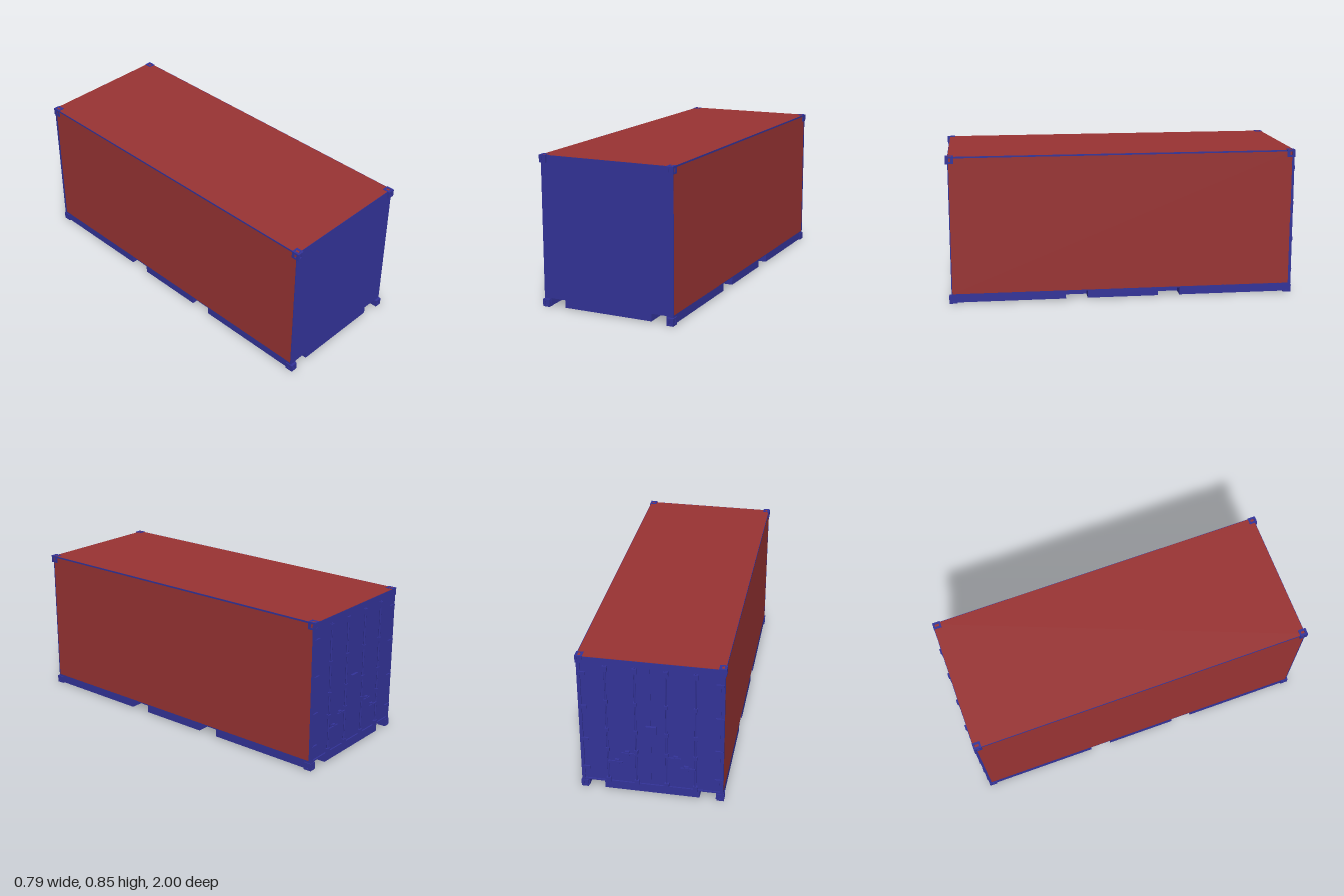
import * as THREE from 'three';

const blue = new THREE.MeshStandardMaterial({ color: 0x333399 });
const red = new THREE.MeshStandardMaterial({ color: 0x993333 });

// Box given by its min/max limits on each axis
function block(parent, name, [x0, x1], [y0, y1], [z0, z1], material = blue) {
  const mesh = new THREE.Mesh(new THREE.BoxGeometry(x1 - x0, y1 - y0, z1 - z0), material);
  mesh.position.set((x0 + x1) / 2, (y0 + y1) / 2, (z0 + z1) / 2);
  mesh.name = name;
  parent.add(mesh);
  return mesh;
}

// Same box on the left or right side (s = 1 or -1)
const side = (s, a, b) => (s > 0 ? [a, b] : [-b, -a]);

// Flat plate with a slot through it, lying in xy and facing +z
function slottedPlate(w, h, slotW, slotH, depth) {
  const rect = (P, a, b) => new P([
    new THREE.Vector2(-a / 2, -b / 2), new THREE.Vector2(a / 2, -b / 2),
    new THREE.Vector2(a / 2, b / 2), new THREE.Vector2(-a / 2, b / 2)]);
  const shape = rect(THREE.Shape, w, h);
  shape.holes.push(rect(THREE.Path, slotW, slotH));
  return new THREE.ExtrudeGeometry(shape, { depth, bevelEnabled: false });
}

// Corner casting: a core with slotted plates on its three outer faces
function cornerCasting(sx, sy, sz) {
  const [w, h, d, t] = [0.04, 0.042, 0.046, 0.008];
  const casting = new THREE.Group();
  casting.name = 'cornerCasting';
  const core = new THREE.Mesh(new THREE.BoxGeometry(w - t, h - t, d - t), blue);
  core.position.set(-sx * t / 2, -sy * t / 2, -sz * t / 2);
  core.name = 'castingCore';
  const end = new THREE.Mesh(slottedPlate(w, h, 0.013, 0.021, t), blue);
  end.position.z = sz > 0 ? d / 2 - t : -d / 2;
  const flank = new THREE.Mesh(slottedPlate(d, h, 0.015, 0.021, t), blue);
  flank.rotation.y = Math.PI / 2;
  flank.position.x = sx > 0 ? w / 2 - t : -w / 2;
  const cap = new THREE.Mesh(slottedPlate(w, d, 0.014, 0.024, t), blue);
  cap.rotation.x = -Math.PI / 2;
  cap.position.y = sy > 0 ? h / 2 - t : -h / 2;
  [end, flank, cap].forEach((m) => { m.name = 'slottedFace'; });
  casting.add(core, end, flank, cap);
  casting.position.set(sx * 0.377, sy > 0 ? 0.845 - h / 2 : h / 2, sz > 0 ? 0.977 : -0.967);
  return casting;
}

// Base frame with end notches and side fork pockets
function baseFrame() {
  const base = new THREE.Group();
  base.name = 'baseFrame';
  const y = [0.005, 0.048];
  block(base, 'floor', [-0.392, 0.392], [0.048, 0.054], [-0.984, 0.986]);
  block(base, 'centreSlab', [-0.263, 0.263], y, [-0.984, 0.986]);
  for (const s of [1, -1]) {
    for (const z of [[-0.855, -0.325], [-0.2, 0.21], [0.335, 0.855]]) {
      block(base, 'sideRail', side(s, 0.263, 0.392), y, z);
    }
    for (const z of [[-0.325, -0.2], [0.21, 0.335]]) {
      block(base, 'forkPocketBack', side(s, 0.263, 0.31), y, z);
    }
    for (const z of [[-0.984, -0.855], [0.855, 0.986]]) {
      block(base, 'railEnd', side(s, 0.352, 0.392), y, z);
    }
  }
  return base;
}

// Upright locking rod with clamps and a swinging handle
function lockingRod(x, handleY, handleDir) {
  const rod = new THREE.Group();
  rod.name = 'lockingRod';
  rod.position.x = x;
  const bar = new THREE.Mesh(new THREE.CylinderGeometry(0.005, 0.005, 0.76, 8), blue);
  bar.position.set(0, 0.425, -0.99);
  bar.name = 'rodBar';
  rod.add(bar);
  for (const y of [0.065, 0.27, 0.4, 0.58, 0.785]) {
    const end = y < 0.1 || y > 0.7;
    const [w, h] = end ? [0.012, 0.016] : [0.01, 0.011];
    block(rod, 'rodClamp', [-w, w], [y - h, y + h], [-0.998, -0.978]);
  }
  block(rod, 'handle', handleDir > 0 ? [0, 0.08] : [-0.08, 0],
    [handleY - 0.005, handleY + 0.005], [-0.999, -0.992]);
  const grip = handleDir * 0.05;
  block(rod, 'handleCatch', [grip - 0.012, grip + 0.012],
    [handleY - 0.013, handleY + 0.013], [-0.996, -0.978]);
  return rod;
}

// Door end: frame, two leaves, hinges, rods and a plate
function doorEnd() {
  const doors = new THREE.Group();
  doors.name = 'doorEnd';
  block(doors, 'doorHeader', [-0.392, 0.392], [0.803, 0.842], [-0.988, -0.972]);
  block(doors, 'doorSill', [-0.392, 0.392], [0.048, 0.056], [-0.988, -0.972]);
  block(doors, 'lowerSill', [-0.263, 0.263], [0.005, 0.05], [-0.988, -0.972]);
  for (const s of [1, -1]) {
    block(doors, 'cornerPost', side(s, 0.374, 0.392), [0.04, 0.842], [-0.988, -0.972]);
    block(doors, 'doorLeaf', side(s, 0.002, 0.372), [0.058, 0.8], [-0.983, -0.972]);
    for (const y of [0.13, 0.32, 0.53, 0.74]) {
      block(doors, 'hinge', side(s, 0.345, 0.388), [y - 0.01, y + 0.01], [-0.992, -0.975]);
    }
    doors.add(lockingRod(s * 0.24, 0.195, -s), lockingRod(s * 0.083, 0.255, s));
  }
  block(doors, 'doorBacking', [-0.39, 0.39], [0.05, 0.84], [-0.98, -0.97]);
  block(doors, 'doorPlate', [-0.028, 0.028], [0.395, 0.445], [-0.997, -0.978]);
  return doors;
}

export function createModel() {
  const model = new THREE.Group();
  model.name = 'shippingContainer';
  model.add(baseFrame(), doorEnd());

  // Walls, roof and top rails
  block(model, 'body', [-0.392, 0.392], [0.053, 0.836], [-0.974, 0.984], red);
  block(model, 'roof', [-0.391, 0.391], [0.83, 0.8435], [-0.986, 0.985], red);
  block(model, 'frontWall', [-0.393, 0.393], [0.048, 0.843], [0.982, 0.987]);
  for (const s of [1, -1]) {
    block(model, 'topRail', side(s, 0.385, 0.393), [0.834, 0.843], [-0.984, 0.986]);
  }

  for (const sx of [1, -1]) for (const sy of [1, -1]) for (const sz of [1, -1]) {
    model.add(cornerCasting(sx, sy, sz));
  }
  return model;
}
